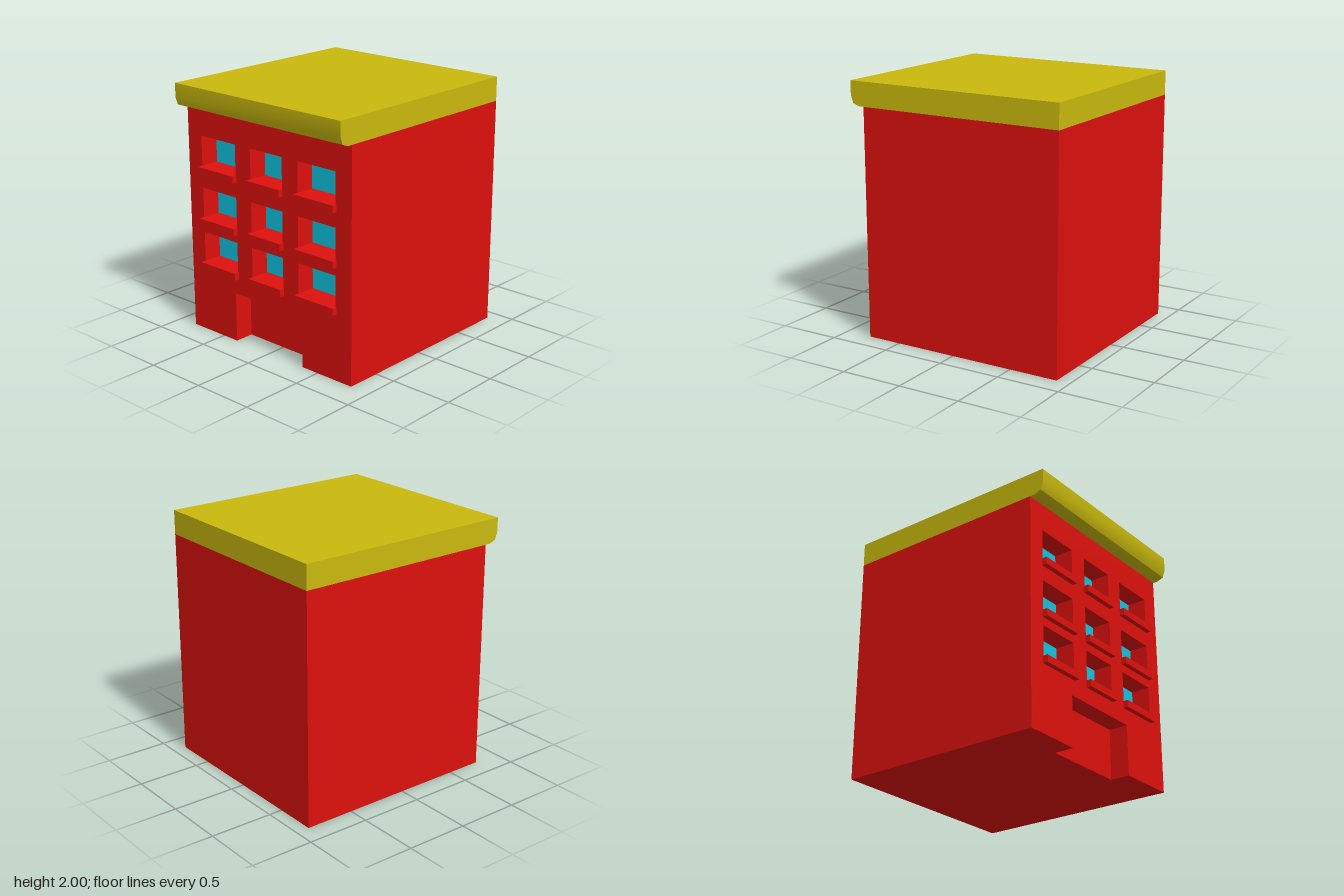
import * as THREE from 'three';
import { toCreasedNormals } from 'three/addons/utils/BufferGeometryUtils.js';

const W = 1.665, BACK = -0.893, FRONT = 0.777, RECESS = 0.155, WALL_H = 1.81;
const INNER = FRONT - RECESS;

const red = new THREE.MeshStandardMaterial({ color: 0xdd110d });
const yellow = new THREE.MeshStandardMaterial({ color: 0xc9b90d });
const cyan = new THREE.MeshStandardMaterial({ color: 0x10c3e0 });

// Window columns [left, right] and rows [sill top, window top]
const columns = [[-0.688, -0.322], [-0.163, 0.161], [0.317, 0.683]];
const rows = [[0.58, 0.82], [0.94, 1.18], [1.355, 1.593]];
const SILL_H = 0.056;

function box(name, material, [x0, x1], [y0, y1], [z0, z1]) {
  const mesh = new THREE.Mesh(new THREE.BoxGeometry(x1 - x0, y1 - y0, z1 - z0), material);
  mesh.position.set((x0 + x1) / 2, (y0 + y1) / 2, (z0 + z1) / 2);
  mesh.name = name;
  return mesh;
}

const toShape = (points) => new THREE.Shape(points.map(([x, y]) => new THREE.Vector2(x, y)));

// Front wall with the doorway notch and window openings
function createFacade() {
  const h = W / 2;
  const shape = toShape([
    [-h, 0], [-0.353, 0], [-0.353, 0.398], [0.349, 0.398], [0.349, 0],
    [h, 0], [h, WALL_H], [-h, WALL_H],
  ]);
  for (const [y0, y1] of rows) {
    for (const [x0, x1] of columns) {
      const b = y0 - SILL_H / 2; // the sill covers the lower edge
      shape.holes.push(new THREE.Path([
        new THREE.Vector2(x0, b), new THREE.Vector2(x0, y1),
        new THREE.Vector2(x1, y1), new THREE.Vector2(x1, b),
      ]));
    }
  }
  const geometry = new THREE.ExtrudeGeometry(shape, { depth: RECESS, bevelEnabled: false });
  const mesh = new THREE.Mesh(geometry, red);
  mesh.position.z = INNER;
  mesh.name = 'frontWall';
  return mesh;
}

// Roof slab: side profile (z, y) with a rounded front overhang, swept across x
function createRoof() {
  const shape = toShape([
    [BACK, WALL_H], [0.82, WALL_H], [0.872, 1.83], [0.893, 1.89], [0.893, 2], [BACK, 2],
  ]);
  let geometry = new THREE.ExtrudeGeometry(shape, { depth: W, bevelEnabled: false });
  geometry.rotateY(-Math.PI / 2).translate(W / 2, 0, 0);
  geometry = toCreasedNormals(geometry, Math.PI / 6);
  const mesh = new THREE.Mesh(geometry, yellow);
  mesh.name = 'roof';
  return mesh;
}

export function createModel() {
  const model = new THREE.Group();
  model.name = 'building';

  model.add(box('mainBlock', red, [-W / 2, W / 2], [0, WALL_H], [BACK, INNER]));
  model.add(createFacade(), createRoof());

  // Glass panes at the back of each opening, with projecting sills
  for (const [y0, y1] of rows) {
    for (const [x0, x1] of columns) {
      model.add(box('windowGlass', cyan, [x0, x1], [y0 - 0.01, y1], [INNER - 0.01, INNER + 0.003]));
      model.add(box('windowSill', red, [x0 - 0.006, x1 + 0.006], [y0 - SILL_H, y0], [INNER, FRONT + 0.04]));
    }
  }
  return model;
}
